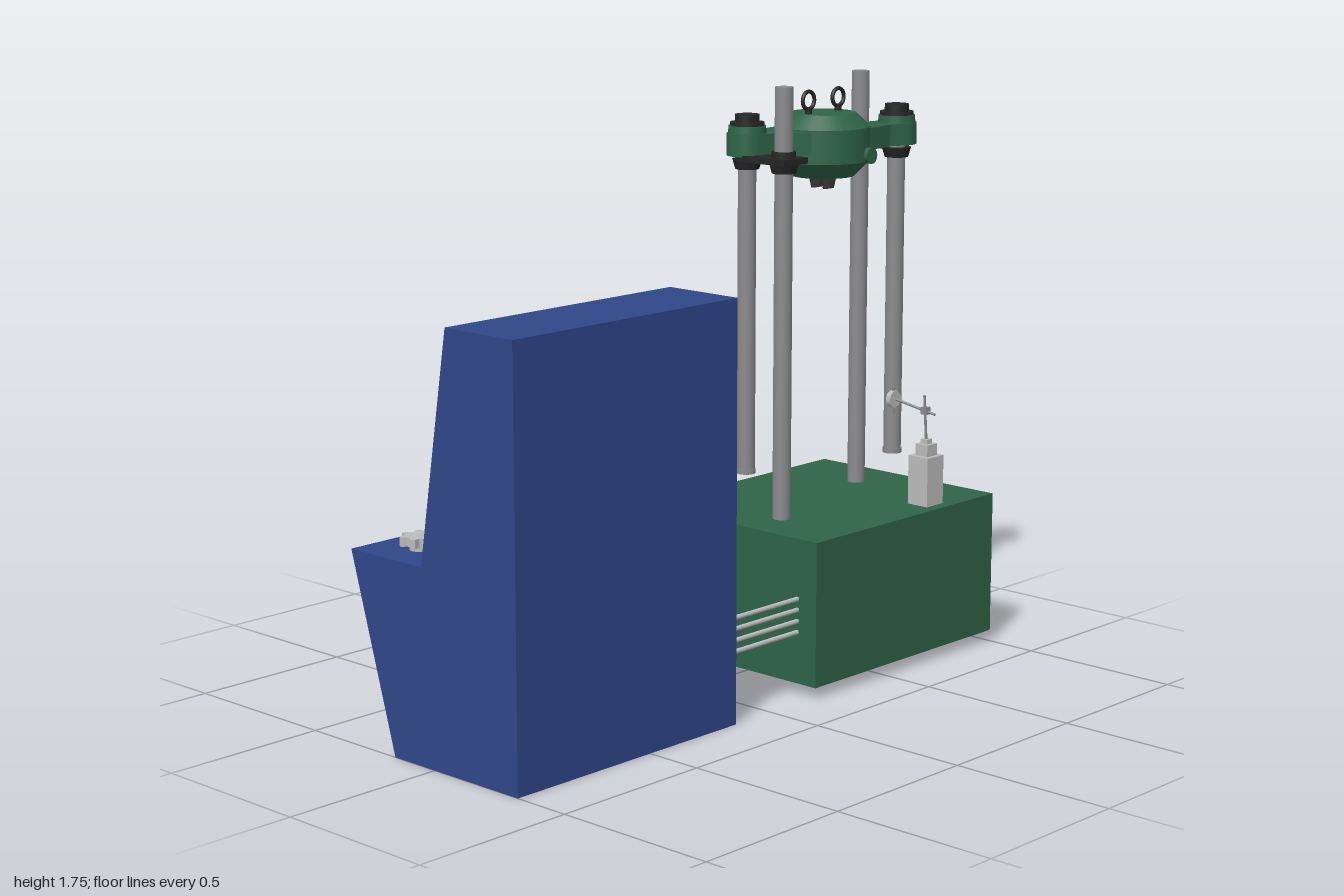
import * as THREE from 'three';

const mat = (name, color, side = THREE.FrontSide) => {
  const m = new THREE.MeshStandardMaterial({ color, side });
  m.name = name;
  return m;
};
const M = {
  blue: mat('console blue', 0x30478a, THREE.DoubleSide),
  green: mat('machine green', 0x2e6447, THREE.DoubleSide),
  steel: mat('steel grey', 0x8b8b8e),
  light: mat('light grey', 0xbcbcbc),
  black: mat('black', 0x262626),
  panel: mat('panel grey', 0x444240),
  white: mat('dial white', 0xe2e2e2),
  yellow: mat('yellow', 0xd6ac3a),
  lamp: mat('lamp green', 0x2a7a45),
};

function add(parent, name, geo, material, x = 0, y = 0, z = 0) {
  const m = new THREE.Mesh(geo, material);
  m.name = name;
  m.position.set(x, y, z);
  parent.add(m);
  return m;
}
function group(parent, name, x = 0, y = 0, z = 0) {
  const g = new THREE.Group();
  g.name = name;
  g.position.set(x, y, z);
  parent.add(g);
  return g;
}
const box = (w, h, d) => new THREE.BoxGeometry(w, h, d);
const cyl = (r, h, n = 24, rb = r) => new THREE.CylinderGeometry(r, rb, h, n);
const cylZ = (r, h, n = 24, rb = r) => cyl(r, h, n, rb).rotateX(Math.PI / 2);
const cylX = (r, h, n = 12) => cyl(r, h, n).rotateZ(Math.PI / 2);
const lathe = (pts, n = 48) => new THREE.LatheGeometry(pts.map(p => new THREE.Vector2(...p)), n);

// Lathe with a hard edge at every profile point
function hardLathe(parent, name, pts, material, n = 48) {
  const g = group(parent, name);
  for (let i = 0; i < pts.length - 1; i++) add(g, name, lathe([pts[i], pts[i + 1]], n), material);
  return g;
}

// Rod between two points
function rod(parent, name, a, b, r, material) {
  const A = new THREE.Vector3(...a), B = new THREE.Vector3(...b);
  const m = add(parent, name, cyl(r, A.distanceTo(B), 10), material);
  m.position.copy(A).add(B).multiplyScalar(0.5);
  m.quaternion.setFromUnitVectors(new THREE.Vector3(0, 1, 0), B.sub(A).normalize());
}

// Prism along x from a (z, y) outline, left open underneath
function openHousing(outline, x0, x1) {
  const s = new THREE.Shape(outline.map(([z, y]) => new THREE.Vector2(-z, y)));
  const src = new THREE.ExtrudeGeometry(s, { depth: x1 - x0, bevelEnabled: false });
  src.rotateY(Math.PI / 2).translate(x0, 0, 0);
  const p = src.attributes.position, n = src.attributes.normal, keep = [];
  for (let i = 0; i < p.count; i += 3) {
    if (n.getY(i) < -0.99) continue;
    for (let k = i; k < i + 3; k++) keep.push(p.getX(k), p.getY(k), p.getZ(k));
  }
  const g = new THREE.BufferGeometry();
  g.setAttribute('position', new THREE.Float32BufferAttribute(keep, 3));
  g.computeVertexNormals();
  return g;
}

function buildConsole(root) {
  const c = group(root, 'console');
  add(c, 'consoleHousing', openHousing(
    [[0.325, 0], [0.325, 1.225], [0.07, 1.225], [-0.04, 0.56], [-0.325, 0.56], [-0.16, 0]], -1, -0.15), M.blue);

  // Round gauge on the sloping face
  const g = group(c, 'gauge', -0.577, 0.895, 0.015);
  g.lookAt(-0.577, 0.895 + 0.163, 0.015 - 0.987);
  const rim = hardLathe(g, 'gaugeRim',
    [[0.237, 0], [0.237, 0.05], [0.228, 0.06], [0.205, 0.06], [0.2, 0.02]], M.black, 64);
  rim.rotation.x = Math.PI / 2;
  add(g, 'gaugeFace', cylZ(0.205, 0.028, 48), M.white, 0, 0, 0.016);
  add(g, 'gaugeCentre', cylZ(0.115, 0.006, 40), M.yellow, 0, 0, 0.032);
  const needle = group(g, 'needle', 0, 0, 0.04);
  needle.rotation.z = 0.15;
  add(needle, 'needleBar', box(0.32, 0.013, 0.005), M.black);
  add(needle, 'needleTail', box(0.12, 0.024, 0.006), M.black, -0.08, 0, 0);
  add(needle, 'needleHub', cylZ(0.02, 0.014, 20), M.light, 0, 0, 0.003);

  // Button panel
  add(c, 'buttonPanel', box(0.205, 0.008, 0.195), M.panel, -0.577, 0.564, -0.187);
  const buttons = [[-0.655, -0.25, 1], [-0.5, -0.25, 1], [-0.655, -0.193, 0], [-0.58, -0.193, 1],
    [-0.515, -0.193, 1], [-0.655, -0.135, 0], [-0.5, -0.135, 1]];
  for (const [x, z, y] of buttons) {
    add(c, 'buttonCollar', cyl(0.019, 0.008, 20), M.panel, x, 0.571, z);
    add(c, 'button', cyl(0.015, 0.014, 20), y ? M.yellow : M.lamp, x, 0.58, z);
  }

  // Lobed hand knobs
  const star = new THREE.Shape();
  for (let i = 0; i <= 84; i++) {
    const a = i / 84 * Math.PI * 2, r = 0.049 + 0.009 * Math.tanh(2 * Math.cos(7 * a));
    star[i ? 'lineTo' : 'moveTo'](r * Math.cos(a), r * Math.sin(a));
  }
  for (const x of [-0.875, -0.278]) {
    const k = group(c, 'knob', x, 0.56, -0.183);
    add(k, 'knobStem', cyl(0.03, 0.016), M.light, 0, 0.008, 0);
    add(k, 'knobStar', new THREE.ExtrudeGeometry(star, { depth: 0.026, bevelEnabled: false })
      .rotateX(-Math.PI / 2), M.light, 0, 0.014, 0);
  }
}

function buildCrosshead(root) {
  const h = group(root, 'crosshead', 0.582, 0, 0);
  hardLathe(h, 'crossheadBody', [[0, 1.463], [0.095, 1.463], [0.14, 1.51], [0.14, 1.61], [0.098, 1.65], [0, 1.65]], M.green);

  // Each half carries an arm, clamp, lifting eye and two columns
  for (const turn of [0, Math.PI]) {
    const s = group(h, 'crossheadSide');
    s.rotation.y = turn;
    const ex = 0.258, ez = 0.07;
    const len = Math.hypot(ex, ez), r = 0.06;
    const arm = new THREE.Shape();
    arm.moveTo(0, -0.115);
    arm.lineTo(0.1, -0.095);
    arm.lineTo(len - 0.06, -0.052);
    arm.lineTo(len, -r);
    arm.absarc(len, 0, r, -Math.PI / 2, Math.PI / 2, false);
    arm.lineTo(len - 0.06, 0.052);
    arm.lineTo(0.1, 0.095);
    arm.lineTo(0, 0.115);
    const a = add(s, 'arm', new THREE.ExtrudeGeometry(arm, { depth: 0.065, bevelEnabled: false, curveSegments: 20 })
      .rotateX(-Math.PI / 2), M.green, 0, 1.54, 0);
    a.rotation.y = -Math.atan2(ez, ex);
    add(s, 'armBoss', cyl(0.055, 0.085, 32, 0.06), M.green, ex, 1.585, ez);
    add(s, 'clampWasher', cyl(0.05, 0.012, 28), M.black, ex, 1.632, ez);
    add(s, 'topNut', cyl(0.037, 0.03, 12), M.black, ex, 1.645, ez);
    add(s, 'clampPlate', box(0.105, 0.018, 0.18), M.black, ex, 1.536, -0.03);
    add(s, 'lowerNut', cyl(0.045, 0.03, 12, 0.036), M.black, ex, 1.515, ez);
    add(s, 'plateNut', cyl(0.044, 0.03, 12, 0.036), M.black, ex, 1.515, -0.073);
    add(s, 'plateCollar', cyl(0.036, 0.02, 12), M.black, ex, 1.553, -0.073);
    add(s, 'shortColumn', cyl(0.027, 1.01), M.steel, ex, 1.105, ez);
    add(s, 'columnFoot', cyl(0.029, 0.015), M.steel, ex, 0.593, ez);
    add(s, 'tallColumn', cyl(0.027, 1.3), M.steel, ex, 1.1, -0.073);
    add(s, 'tallColumnScrew', cyl(0.0245, 0.25), M.steel, ex, 1.625, -0.073);
    add(s, 'liftingEye', new THREE.TorusGeometry(0.026, 0.006, 10, 28), M.black, 0.067, 1.69, 0);
    add(s, 'liftingEyeFoot', cyl(0.01, 0.02, 12), M.black, 0.067, 1.655, 0);
    // Gripping jaws underneath
    add(s, 'jaw', cyl(0.008, 0.045, 4, 0.005).rotateY(Math.PI / 4).scale(5.5, 1, 1.3), M.panel, 0, 1.447, 0.023);
  }

  // Cross shaft with a handwheel at the back
  add(h, 'shaftBoss', cylZ(0.024, 0.27, 20), M.green, 0.048, 1.528, 0.015);
  add(h, 'wheelBoss', cylZ(0.024, 0.1, 20), M.green, 0.048, 1.528, -0.105);
  const w = group(h, 'handwheel', 0.048, 1.528, -0.195);
  add(w, 'wheelRim', new THREE.TorusGeometry(0.046, 0.006, 10, 32), M.black);
  add(w, 'wheelHub', cylZ(0.012, 0.05, 14), M.black, 0, 0, 0.018);
  for (let i = 0; i < 3; i++) {
    const t = i * Math.PI * 2 / 3 + Math.PI / 2;
    rod(w, 'wheelSpoke', [0, 0, 0.012], [0.046 * Math.cos(t), 0.046 * Math.sin(t), 0], 0.005, M.black);
  }
}

function buildIndicator(root) {
  // Stepped stand with a dial on a jointed arm
  const s = group(root, 'indicatorStand', 0.76, 0.47, 0.268);
  add(s, 'standBlock', box(0.076, 0.15, 0.074), M.light, 0, 0.075, 0);
  add(s, 'standStep', box(0.046, 0.036, 0.046), M.light, 0, 0.168, 0);
  add(s, 'standCap', box(0.024, 0.016, 0.024), M.light, 0, 0.192, 0);
  rod(s, 'standRod', [0, 0.19, 0], [-0.012, 0.335, 0], 0.004, M.steel);
  rod(s, 'standArm', [-0.004, 0.28, 0.035], [-0.02, 0.31, -0.105], 0.004, M.steel);
  add(s, 'armClamp', box(0.022, 0.022, 0.022), M.steel, -0.006, 0.288, 0);
  add(s, 'dialCase', cylZ(0.026, 0.016), M.light, -0.022, 0.31, -0.112);
  rod(s, 'dialPlunger', [-0.022, 0.345, -0.112], [-0.022, 0.265, -0.112], 0.004, M.steel);
}

export function createModel() {
  const root = new THREE.Group();
  root.name = 'testingMachine';
  buildConsole(root);
  add(root, 'baseHousing', openHousing([[0.34, 0.035], [0.34, 0.47], [-0.34, 0.47], [-0.34, 0.035]], 0.175, 1), M.green);
  // Pipes from the console to the base
  for (const y of [0.19, 0.223, 0.257, 0.29]) add(root, 'pipe', cylX(0.007, 0.36), M.light, 0.015, y, 0.268);
  buildCrosshead(root);
  buildIndicator(root);
  return root;
}
